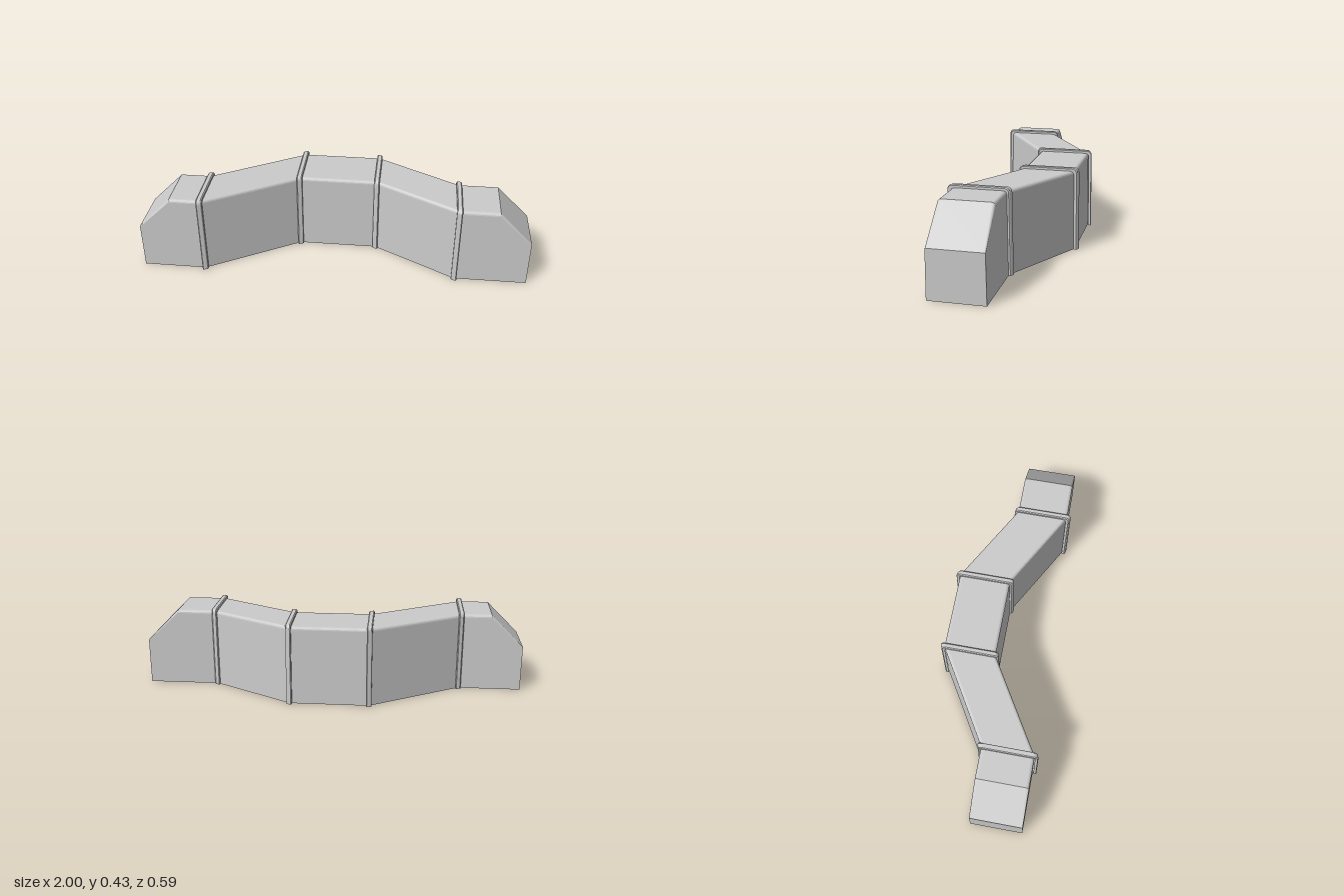
import * as THREE from 'three';

const material = new THREE.MeshStandardMaterial({ color: 0xcccccc, flatShading: true, side: THREE.DoubleSide });

// Upside-down U section at x: front foot, rounded shoulders, back foot
function section(x, zc, height, half, radius) {
  const pts = [new THREE.Vector3(x, 0, zc + half)];
  const top = half - 0.012 * height; // walls lean in slightly
  const steps = 4;
  for (const side of [1, -1]) {
    for (let k = 0; k <= steps; k++) {
      const a = (side > 0 ? k : steps - k) / steps * Math.PI / 2;
      pts.push(new THREE.Vector3(
        x,
        height - radius + radius * Math.sin(a),
        zc + side * (top - radius + radius * Math.cos(a))
      ));
    }
  }
  pts.push(new THREE.Vector3(x, 0, zc - half));
  return pts;
}

// Skin between sections ordered by x, with optional end caps and feet
function loft(name, sections, { capLeft, capRight, feet } = {}) {
  const out = [];
  const tri = (...vs) => vs.forEach(v => out.push(v.x, v.y, v.z));
  const fan = (pts, flip) => {
    for (let k = 1; k < pts.length - 1; k++) {
      if (flip) tri(pts[0], pts[k + 1], pts[k]);
      else tri(pts[0], pts[k], pts[k + 1]);
    }
  };
  for (let i = 0; i < sections.length - 1; i++) {
    const s = sections[i], t = sections[i + 1];
    for (let j = 0; j < s.length - 1; j++) {
      tri(s[j], t[j], t[j + 1]);
      tri(s[j], t[j + 1], s[j + 1]);
    }
  }
  if (capLeft) fan(sections[0], false);
  if (capRight) fan(sections[sections.length - 1], true);
  if (feet) {
    fan(sections.map(s => s[0]), true);
    fan(sections.map(s => s[s.length - 1]), false);
  }
  const geometry = new THREE.BufferGeometry();
  geometry.setAttribute('position', new THREE.Float32BufferAttribute(out, 3));
  geometry.computeVertexNormals();
  const mesh = new THREE.Mesh(geometry, material);
  mesh.name = name;
  return mesh;
}

export function createModel() {
  const group = new THREE.Group();
  group.name = 'coveredTunnel';

  const H = 0.41, HALF = 0.137, R = 0.016;
  const body = (x, z, h = H, r = R) => section(x, z, h, HALF, r);

  // Bends of the centre line: x, z
  const bends = [[-0.672, 0.138], [-0.203, -0.143], [0.205, -0.143], [0.63, 0.092]];

  // Straight runs between the bends
  const names = ['rightSlantedRun', 'middleRun', 'leftSlantedRun'];
  names.forEach((name, i) => group.add(loft(name, [body(...bends[i]), body(...bends[i + 1])])));

  // Sloped, closed ends
  const [first, last] = [bends[0], bends[3]];
  group.add(loft('rightEnd',
    [body(-1, first[1], 0.24, 0.006), body(-0.83, first[1]), body(...first)], { capLeft: true }));
  group.add(loft('leftEnd',
    [body(...last), body(0.83, last[1]), body(1, last[1], 0.24, 0.006)], { capRight: true }));

  // Bevelled collars over the joints, skewed to half the bend
  const rim = [[-0.014, -0.002], [-0.014, 0.011], [-0.009, 0.015], [0.009, 0.015], [0.014, 0.011], [0.014, -0.002]];
  const skew = [-0.3, -0.3, 0.3, 0.3];
  bends.forEach(([x, z], i) => {
    const ring = rim.map(([dx, g]) => section(x + dx, z + dx * skew[i], H + g, HALF + g + 0.002, R + g * 0.4));
    group.add(loft('collar' + (i + 1), ring, { feet: true }));
  });

  return group;
}
